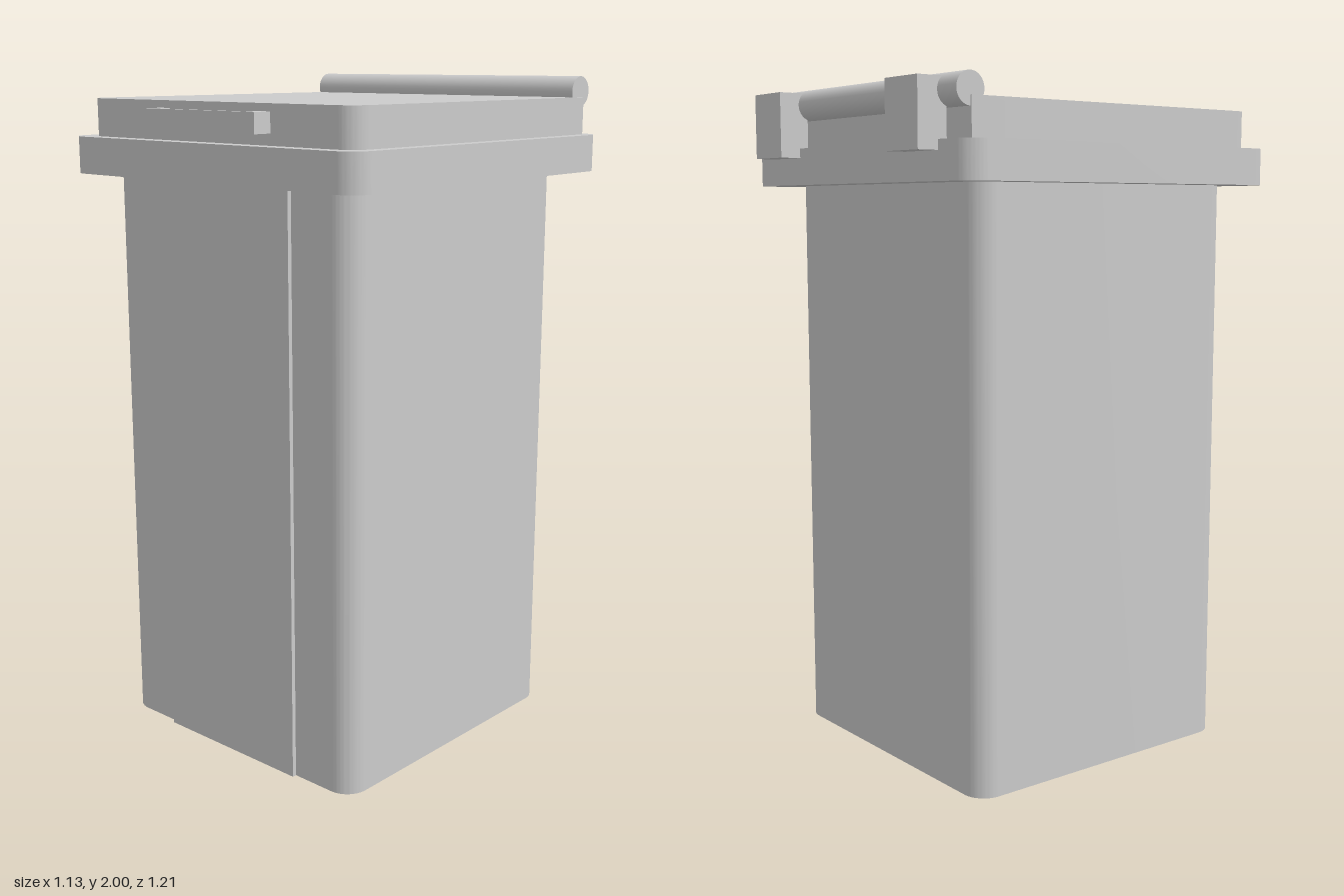
import * as THREE from 'three';
import { toCreasedNormals } from 'three/addons/utils/BufferGeometryUtils.js';

const material = new THREE.MeshStandardMaterial({ color: 0xcccccc });

function addMesh(group, name, geometry) {
  const mesh = new THREE.Mesh(geometry, material);
  mesh.name = name;
  group.add(mesh);
  return mesh;
}

// Extrude a plan outline (x, -z) upward from y0 to y1
function slab(shape, y0, y1) {
  const geo = new THREE.ExtrudeGeometry(shape, { depth: y1 - y0, bevelEnabled: false, curveSegments: 10 });
  geo.rotateX(-Math.PI / 2).translate(0, y0, 0);
  return toCreasedNormals(geo, 0.5);
}

// Rounded rectangle in plan, with separate front and back corner radii
function plan(x0, x1, z0, z1, front, back = front) {
  const s = new THREE.Shape();
  const b = -z1, t = -z0;
  s.moveTo(x0 + front, b);
  s.lineTo(x1 - front, b);
  s.absarc(x1 - front, b + front, front, -Math.PI / 2, 0);
  s.lineTo(x1, t - back);
  if (back) s.absarc(x1 - back, t - back, back, 0, Math.PI / 2);
  s.lineTo(x0 + back, t);
  if (back) s.absarc(x0 + back, t - back, back, Math.PI / 2, Math.PI);
  s.lineTo(x0, b + front);
  s.absarc(x0 + front, b + front, front, Math.PI, Math.PI * 1.5);
  return s;
}

function box(x0, x1, y0, y1, z0, z1) {
  return new THREE.BoxGeometry(x1 - x0, y1 - y0, z1 - z0)
    .translate((x0 + x1) / 2, (y0 + y1) / 2, (z0 + z1) / 2);
}

export function createModel() {
  const bin = new THREE.Group();
  bin.name = 'wheelieBin';

  // Container with a slightly raised front panel
  addMesh(bin, 'body', slab(plan(-0.475, 0.47, -0.443, 0.503, 0.07), 0, 1.73));
  addMesh(bin, 'frontPanel', box(-0.265, 0.26, 0, 1.73, 0.45, 0.516));

  // Overhanging rim and lid
  addMesh(bin, 'rim', slab(plan(-0.567, 0.565, -0.543, 0.592, 0.07), 1.72, 1.828));
  addMesh(bin, 'lid', slab(plan(-0.525, 0.522, -0.5, 0.545, 0.06, 0), 1.828, 1.938));

  // U-shaped pull handle on the front of the lid
  const u = new THREE.Shape([
    [-0.205, -0.54], [-0.205, -0.605], [0.228, -0.605], [0.228, -0.54],
    [0.187, -0.54], [0.187, -0.59], [-0.165, -0.59], [-0.165, -0.54],
  ].map(([x, y]) => new THREE.Vector2(x, y)));
  addMesh(bin, 'lidHandle', slab(u, 1.86, 1.917));

  // Hinge rod along the back, held by two brackets
  const rod = new THREE.CylinderGeometry(0.045, 0.045, 1.03, 32);
  rod.rotateZ(Math.PI / 2).translate(-0.005, 1.955, -0.5);
  addMesh(bin, 'hingeRod', rod);
  for (const [name, x] of [['rightHingeBracket', -0.36], ['leftHingeBracket', 0.352]]) {
    addMesh(bin, name, box(x - 0.076, x + 0.076, 1.80, 1.99, -0.607, -0.515));
  }

  return bin;
}
